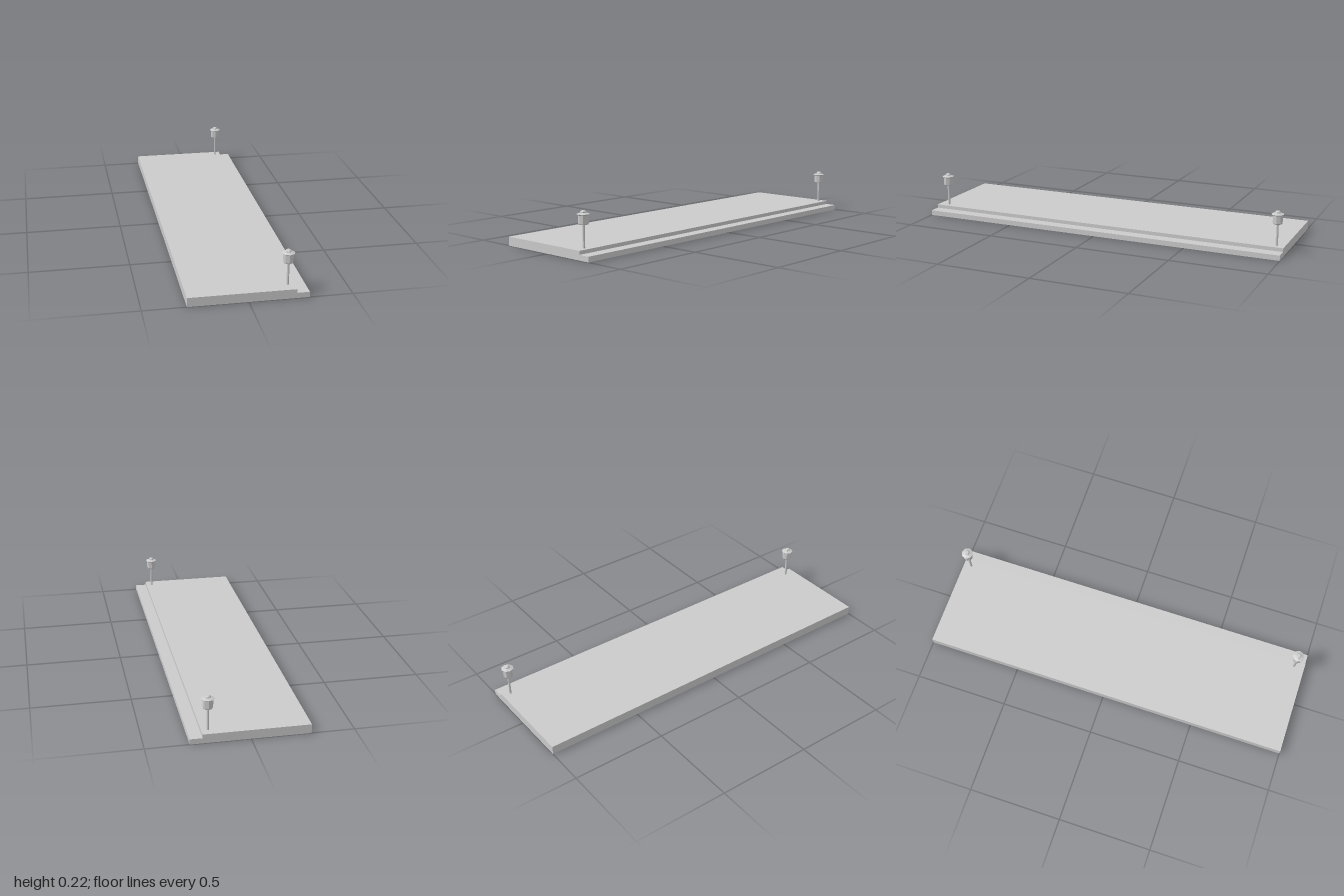
import * as THREE from 'three';

export function createModel() {
  const model = new THREE.Group();
  const mat = new THREE.MeshStandardMaterial({ color: 0xcccccc, flatShading: true });

  function add(parent, name, geometry, x = 0, y = 0, z = 0) {
    const mesh = new THREE.Mesh(geometry, mat);
    mesh.name = name;
    mesh.position.set(x, y, z);
    parent.add(mesh);
  }
  const lathe = (points) =>
    new THREE.LatheGeometry(points.map(([r, y]) => new THREE.Vector2(r, y)), 8);

  // Platform slab with a lower step along its +x edge
  const section = new THREE.Shape([
    [-0.29, 0], [0.29, 0], [0.29, 0.027], [0.229, 0.027], [0.229, 0.046], [-0.29, 0.046],
  ].map(([x, y]) => new THREE.Vector2(x, y)));
  add(model, 'platform', new THREE.ExtrudeGeometry(section, { depth: 2, bevelEnabled: false }), 0, 0, -1);

  // Lamp posts, one near each end
  for (const z of [0.942, -0.958]) {
    const lamp = new THREE.Group();
    lamp.name = 'lampPost';
    lamp.position.set(0.197, 0, z);
    add(lamp, 'post', new THREE.CylinderGeometry(0.0062, 0.0062, 0.118, 8), 0, 0.103, 0);
    // Lantern body, slightly narrowed at the foot
    add(lamp, 'lantern', lathe([[0, 0.159], [0.022, 0.159], [0.025, 0.163], [0.026, 0.206], [0, 0.206]]));
    // Flared roof with a small cap
    add(lamp, 'roof', lathe([
      [0, 0.203], [0.026, 0.203], [0.032, 0.207], [0.032, 0.209], [0.0145, 0.215],
      [0.0145, 0.219], [0.009, 0.225], [0, 0.225],
    ]));
    model.add(lamp);
  }
  return model;
}
